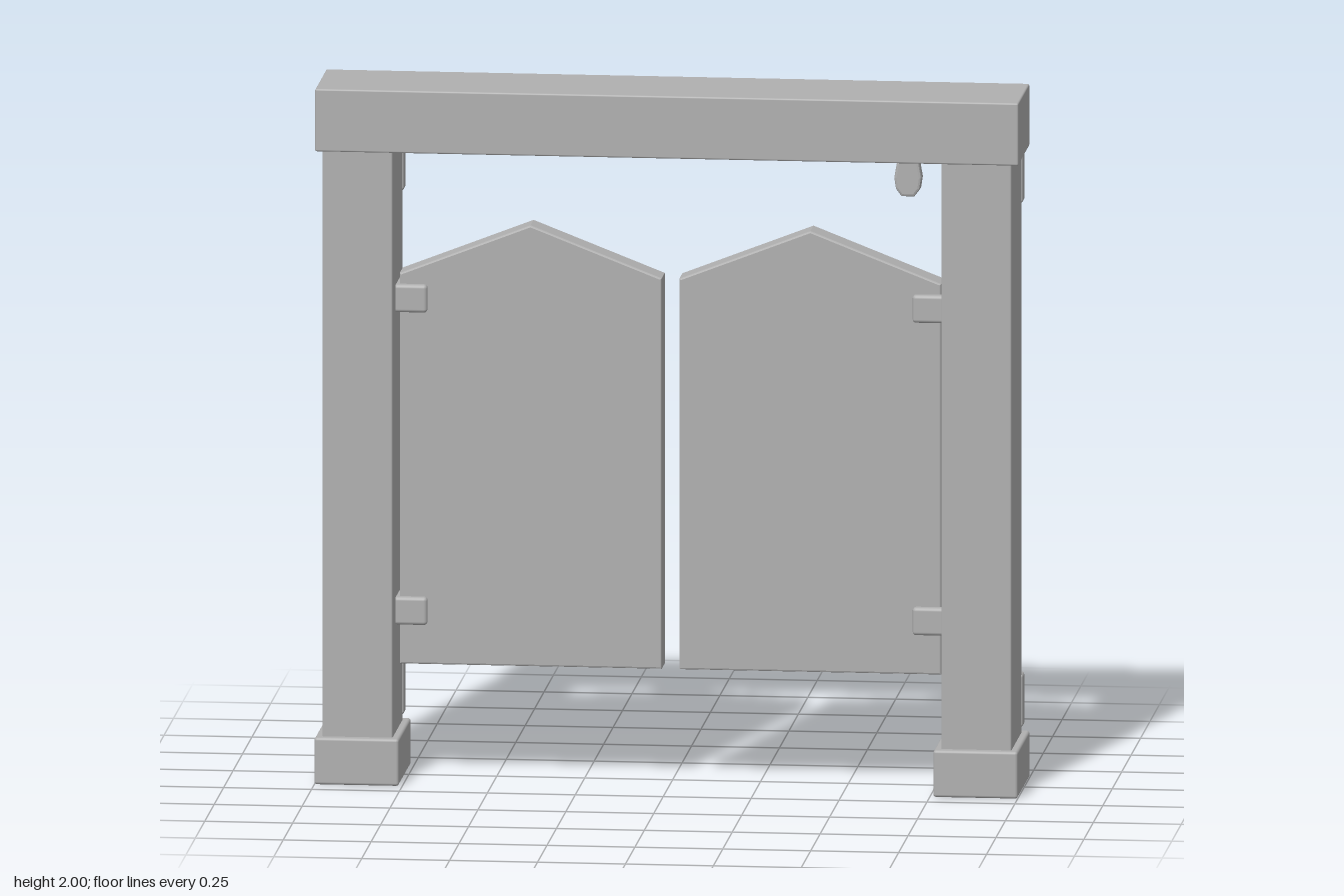
import * as THREE from 'three';
import { RoundedBoxGeometry } from 'three/addons/geometries/RoundedBoxGeometry.js';

export function createModel() {
  const model = new THREE.Group();
  model.name = 'swingingDoorway';
  const grey = new THREE.MeshStandardMaterial({ color: 0xb0b0b0 });
  grey.name = 'plain grey';

  // Box with softly rounded edges, given by its limits on each axis
  function block(parent, name, [x0, x1], [y0, y1], [z0, z1], radius = 0.007) {
    const w = x1 - x0, h = y1 - y0, d = z1 - z0;
    const r = Math.min(radius, w * 0.3, h * 0.3, d * 0.3);
    const mesh = new THREE.Mesh(new RoundedBoxGeometry(w, h, d, 2, r), grey);
    mesh.position.set((x0 + x1) / 2, (y0 + y1) / 2, (z0 + z1) / 2);
    mesh.name = name;
    parent.add(mesh);
  }

  // Outline extruded between two z limits, with a small bevel inside the outline
  function plate(parent, name, shape, z0, z1, bevel) {
    const geo = new THREE.ExtrudeGeometry(shape, {
      depth: z1 - z0 - 2 * bevel, bevelEnabled: true, bevelThickness: bevel,
      bevelSize: bevel, bevelOffset: -bevel, bevelSegments: 2, curveSegments: 8,
    });
    geo.translate(0, 0, z0 + bevel);
    const mesh = new THREE.Mesh(geo, grey);
    mesh.name = name;
    parent.add(mesh);
  }

  // Limits along x for either side, mirrored for s = -1
  const span = (s, a, b) => (s > 0 ? [a, b] : [-b, -a]);

  // Header beam with a raised strip on its back
  block(model, 'headerBeam', [-1, 1], [1.82, 2], [-0.137, 0.16], 0.005);
  block(model, 'headerStrip', [-0.6, 0.6], [1.885, 1.945], [-0.165, -0.12]);

  for (const s of [1, -1]) {
    const side = s > 0 ? 'left' : 'right';

    // Post, foot and back trim
    const post = new THREE.Group();
    post.name = side + 'Post';
    block(post, 'postShaft', span(s, 0.78, 0.98), [0.1, 1.85], [-0.122, 0.155], 0.005);
    block(post, 'postFoot', span(s, 0.76, 1), [0, 0.135], [-0.147, 0.18], 0.008);
    block(post, 'upperPlate', span(s, 0.775, 0.985), [1.66, 1.87], [-0.158, -0.1], 0.01);
    block(post, 'lowerPlate', span(s, 0.775, 0.985), [0.15, 0.305], [-0.155, -0.1], 0.01);
    block(post, 'postStrip', span(s, 0.848, 0.912), [0.475, 1.53], [-0.14, -0.11]);
    model.add(post);

    // Peaked door leaf
    const door = new THREE.Group();
    door.name = side + 'Door';
    const outline = new THREE.Shape([
      [0.025, 0.33], [0.77, 0.33], [0.77, 1.455], [0.398, 1.6], [0.025, 1.455],
    ].map(([x, y]) => new THREE.Vector2(s * x, y)));
    plate(door, 'doorLeaf', outline, -0.03, 0.06, 0.005);

    // Raised panel, rails and slats on the back
    block(door, 'backPanel', span(s, 0.115, 0.68), [0.53, 1.26], [-0.043, -0.02], 0.005);
    for (const y of [0.5, 1.225])
      block(door, 'doorRail', span(s, 0.065, 0.735), [y, y + 0.068], [-0.072, -0.02], 0.008);
    for (const x of [0.185, 0.4, 0.615])
      block(door, 'doorSlat', span(s, x - 0.014, x + 0.014), [0.6, 1.205], [-0.06, -0.03], 0.005);

    // Hinges wrap the door edge
    for (const y of [0.445, 1.345])
      block(door, 'hinge', span(s, 0.69, 0.785), [y, y + 0.08], [-0.06, 0.08], 0.01);
    model.add(door);
  }

  // Hanging pull, waisted in the middle with a rounded bulb below
  const half = [
    [0.018, 1.667], [0.034, 1.688], [0.039, 1.72], [0.032, 1.76], [0.021, 1.8],
    [0.018, 1.84], [0.024, 1.89], [0.035, 1.94], [0.035, 1.955], [0.022, 1.97],
  ].map(([x, y]) => new THREE.Vector2(x, y));
  const other = half.map((p) => new THREE.Vector2(-p.x, p.y)).reverse();
  const pull = new THREE.Group();
  pull.name = 'hangingPull';
  pull.position.x = 0.654;
  plate(pull, 'pullBody', new THREE.Shape([...half, ...other]), -0.182, -0.135, 0.007);
  model.add(pull);

  return model;
}
